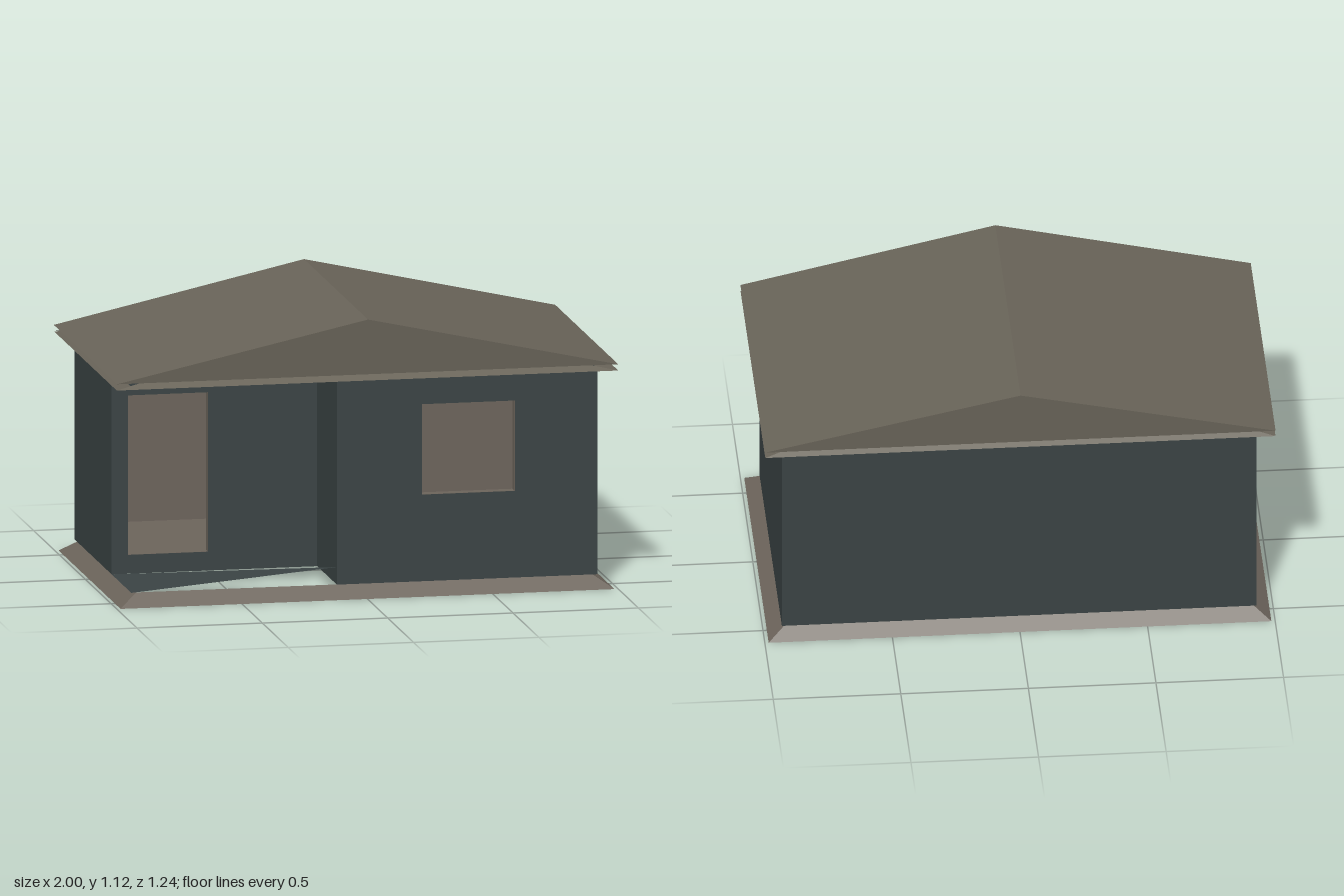
import * as THREE from 'three';

const mat = (name, color) => new THREE.MeshStandardMaterial({ name, color, side: THREE.DoubleSide });

export function createModel() {
  const house = new THREE.Group();
  house.name = 'house';
  const slate = mat('slate siding', 0x3a4344);
  const taupe = mat('taupe trim', 0x6c645b);
  const roofMat = mat('roof taupe', 0x686358);

  const add = (name, geometry, material) => {
    const mesh = new THREE.Mesh(geometry, material);
    mesh.name = name;
    house.add(mesh);
    return mesh;
  };
  // Flat facet through three or four corners, counterclockwise from outside
  const facet = (name, material, ...p) => {
    const g = new THREE.BufferGeometry();
    const order = p.length === 4 ? [0, 1, 2, 0, 2, 3] : [0, 1, 2];
    g.setAttribute('position', new THREE.Float32BufferAttribute(order.flatMap(i => p[i]), 3));
    g.computeVertexNormals();
    return add(name, g, material);
  };
  const rect = (x0, y0, x1, y1, Type = THREE.Shape) => new Type([
    new THREE.Vector2(x0, y0), new THREE.Vector2(x1, y0),
    new THREE.Vector2(x1, y1), new THREE.Vector2(x0, y1)]);

  // Walls: slate skin outside, thick taupe lining inside, with optional opening
  const BASE = 0.05, TOP = 0.87, FLOOR = 0.12, THICK = 0.045, SKIN = 0.004;
  const place = (mesh, [x0, z0], [x1, z1]) => {
    mesh.position.set(x0, 0, z0);
    mesh.rotation.y = Math.atan2(-(z1 - z0), x1 - x0);
  };
  const wall = (name, p, q, opening) => {
    const length = Math.hypot(q[0] - p[0], q[1] - p[1]);
    const skin = rect(0, BASE, length, TOP);
    const lining = rect(SKIN, FLOOR - 0.01, length - SKIN, TOP - 0.001);
    if (opening) for (const s of [skin, lining]) s.holes.push(rect(...opening, THREE.Path));
    place(add(name + 'Siding', new THREE.ShapeGeometry(skin), slate), p, q);
    const inner = new THREE.ExtrudeGeometry(lining, { depth: THICK - SKIN, bevelEnabled: false });
    inner.translate(0, 0, -THICK);
    place(add(name + 'Lining', inner, taupe), p, q);
  };
  const W = 0.93, D = 0.55, PX = -0.11, PZ = 0.17;
  wall('frontWall', [PX, D], [W, D], [0.34, 0.395, 0.71, 0.755]);
  wall('rightWall', [W, D], [W, -D]);
  wall('backWall', [W, -D], [-W, -D]);
  wall('leftWall', [-W, -D], [-W, PZ]);
  wall('doorWall', [-W, PZ], [PX, PZ], [0.065, 0.125, 0.385, 0.76]);
  wall('porchSideWall', [PX, PZ], [PX, D]);

  // Partition between the rooms with a doorway
  const partition = rect(0, FLOOR, 0.67, TOP - 0.001);
  partition.holes.push(rect(0.3, FLOOR + 0.005, 0.6, 0.76, THREE.Path));
  const part = new THREE.ExtrudeGeometry(partition, { depth: 0.04, bevelEnabled: false });
  place(add('partition', part, taupe), [PX, PZ], [PX, -0.5]);

  // Room floors
  for (const [name, x0, z0, x1, z1] of [
    ['mainRoomFloor', -0.07, -0.51, 0.89, 0.51], ['entryFloor', -0.89, -0.51, PX, 0.13]]) {
    const floor = new THREE.ShapeGeometry(rect(x0, -z1, x1, -z0)).rotateX(-Math.PI / 2);
    add(name, floor.translate(0, FLOOR, 0), taupe);
  }

  // Sloping porch slab
  facet('porchSlab', slate, [-W, BASE, PZ], [-W, BASE, D], [PX, FLOOR, D]);

  // Sloped skirt around the foot of the house
  const outer = [[-0.985, 0.61], [0.985, 0.61], [0.985, -0.59], [-0.985, -0.59]];
  const inner = [[-0.91, 0.545], [0.91, 0.545], [0.91, -0.53], [-0.91, -0.53]];
  for (let i = 0; i < 4; i++) {
    const j = (i + 1) % 4;
    facet('baseSkirt', taupe,
      [outer[i][0], 0, outer[i][1]], [outer[j][0], 0, outer[j][1]],
      [inner[j][0], BASE, inner[j][1]], [inner[i][0], BASE, inner[i][1]]);
  }

  // Gable roof, open along the eaves
  const RIDGE = 1.115, EAVE = 0.895, RZ = 0.62, EZ = 0.61;
  facet('roofRight', roofMat, [0, RIDGE, RZ], [1, EAVE, EZ], [1, EAVE, -EZ], [0, RIDGE, -RZ]);
  facet('roofLeft', roofMat, [0, RIDGE, -RZ], [-1, EAVE, -EZ], [-1, EAVE, EZ], [0, RIDGE, RZ]);
  for (const s of [1, -1]) {
    facet('gable', roofMat, [-s, EAVE, s * EZ], [s, EAVE, s * EZ], [0, RIDGE, s * RZ]);
    facet('gableFoot', roofMat, [-s, TOP, s * EZ], [s, TOP, s * EZ],
      [s * 0.87, EAVE, s * 0.567], [-s * 0.87, EAVE, s * 0.567]);
  }

  // Flat soffit under the overhang
  const soffit = rect(-1, -0.605, 1, 0.605);
  soffit.holes.push(rect(-W, -D, W, D, THREE.Path));
  add('soffit', new THREE.ShapeGeometry(soffit).rotateX(Math.PI / 2).translate(0, TOP, 0), roofMat);

  return house;
}
